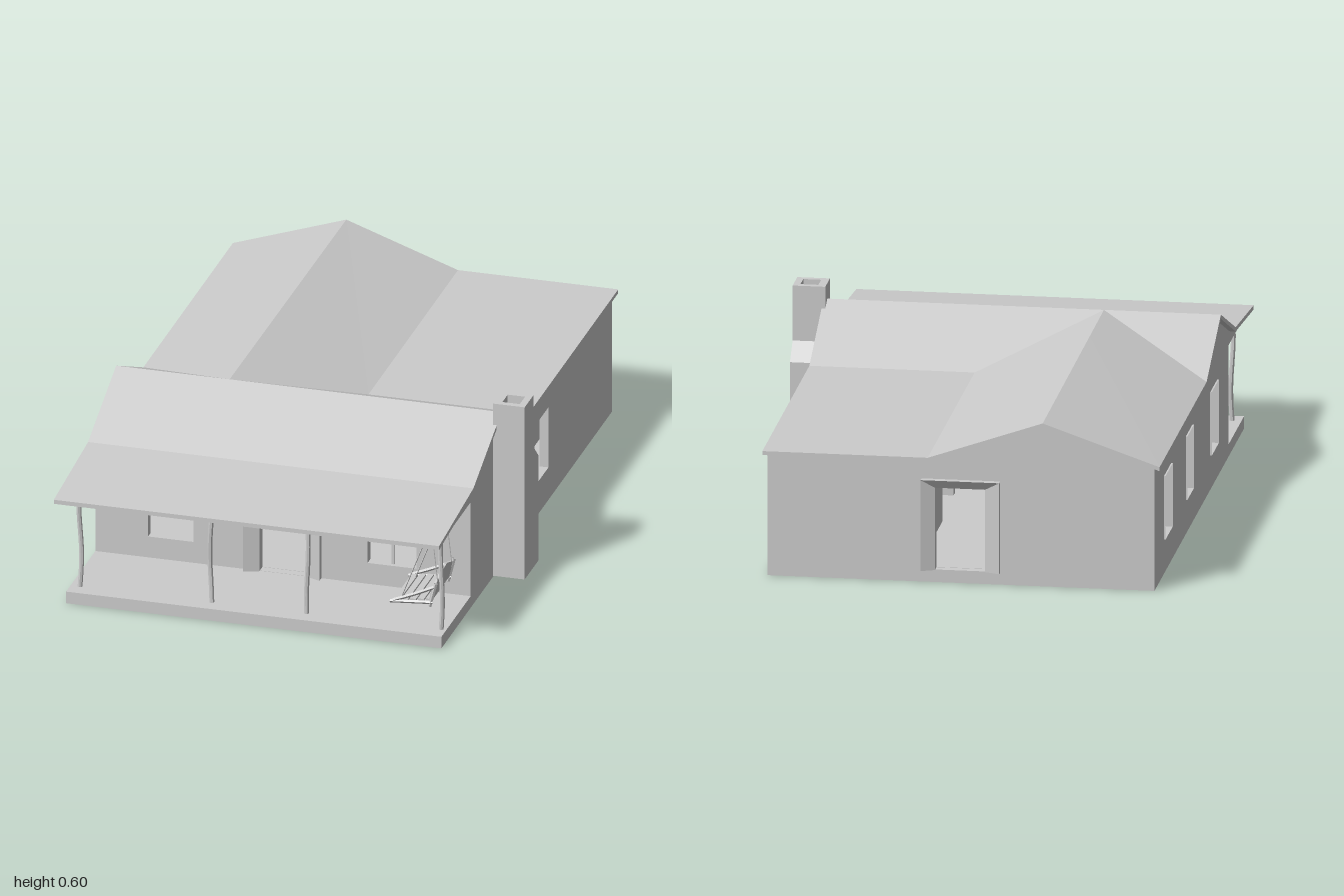
import * as THREE from 'three';

const material = new THREE.MeshStandardMaterial({ color: 0xcccccc, flatShading: true, side: THREE.DoubleSide });

export function createModel() {
  const house = new THREE.Group();

  const add = (name, geometry, parent = house) => {
    const mesh = new THREE.Mesh(geometry, material);
    mesh.name = name;
    parent.add(mesh);
    return mesh;
  };
  const box = (name, x0, x1, y0, y1, z0, z1, parent) =>
    add(name, new THREE.BoxGeometry(x1 - x0, y1 - y0, z1 - z0)
      .translate((x0 + x1) / 2, (y0 + y1) / 2, (z0 + z1) / 2), parent);
  // four-sided sleeve without ends, open along y, x or z
  const sleeve = (name, axis, x0, x1, y0, y1, z0, z1) => {
    const g = new THREE.CylinderGeometry(Math.SQRT1_2, Math.SQRT1_2, 1, 4, 1, true).rotateY(Math.PI / 4);
    if (axis === 'x') g.rotateZ(Math.PI / 2);
    if (axis === 'z') g.rotateX(Math.PI / 2);
    return add(name, g.scale(x1 - x0, y1 - y0, z1 - z0).translate((x0 + x1) / 2, (y0 + y1) / 2, (z0 + z1) / 2));
  };
  const outline = (points, holes = []) => {
    const shape = new THREE.Shape(points.map(p => new THREE.Vector2(...p)));
    for (const [a0, a1, b0, b1] of holes) {
      shape.holes.push(new THREE.Path([[a0, b0], [a0, b1], [a1, b1], [a1, b0]].map(p => new THREE.Vector2(...p))));
    }
    return shape;
  };
  const rect = (a0, a1, b0, b1) => [[a0, b0], [a1, b0], [a1, b1], [a0, b1]];
  // thin faces: (x, y) outline at z, (z, y) outline at x, (x, -z) outline at y
  const faceZ = (points, z, holes) => new THREE.ShapeGeometry(outline(points, holes)).translate(0, 0, z);
  const faceX = (points, x, holes) =>
    new THREE.ShapeGeometry(outline(points, holes)).rotateY(-Math.PI / 2).translate(x, 0, 0);
  const faceY = (points, y, holes) =>
    new THREE.ShapeGeometry(outline(points, holes)).rotateX(-Math.PI / 2).translate(0, y, 0);
  // solids swept along z or x
  const alongZ = (points, z0, z1) =>
    new THREE.ExtrudeGeometry(outline(points), { depth: z1 - z0, bevelEnabled: false }).translate(0, 0, z0);
  const alongX = (points, x0, x1) =>
    new THREE.ExtrudeGeometry(outline(points), { depth: x1 - x0, bevelEnabled: false })
      .rotateY(-Math.PI / 2).translate(x1, 0, 0);
  // line of roof points given thickness downwards
  const thick = (points, t) => [...points, ...points.map(([a, b]) => [a, b - t]).reverse()];
  const rod = (name, points, radius, parent, sides = 5) => {
    const curve = new THREE.CatmullRomCurve3(points.map(p => new THREE.Vector3(...p)));
    return add(name, new THREE.TubeGeometry(curve, points.length > 2 ? 14 : 1, radius, sides), parent);
  };

  const L = -0.66, R = 0.574, back = -0.975, front = 0.603, porch = 0.93;
  const t = 0.03, floorY = 0.04, ceilY = 0.365, sill = 0.112, head = 0.32;
  const door = [-0.12, 0.04, floorY + 0.001, 0.31];
  const windows = spans => spans.map(([a, b]) => [a, b, sill, head]);

  // Hollow partitions standing in floor slots: x0, x1, z0, z1
  const partitions = [
    [0.11, 0.54, -0.115, -0.085], [-0.628, -0.125, -0.115, -0.085],
    [-0.185, -0.155, -0.79, -0.245], [-0.628, -0.35, -0.465, -0.435],
    [0.412, 0.44, -0.86, -0.56], [0.12, 0.41, -0.86, -0.83],
    [0.12, 0.44, -0.415, -0.385], [0.1, 0.13, -0.6, -0.417],
  ];
  for (const [x0, x1, z0, z1] of partitions) sleeve('innerWall', 'y', x0, x1, floorY, ceilY, z0, z1);

  // Floor sheet with slots under the hollow walls, and the deck edge
  const slots = [...partitions, [L + t, -0.125, front - t, front], [0.085, R - t, front - t, front]];
  add('floor', faceY(rect(L, R, -porch, -back), floorY, slots.map(([a, b, c, d]) => [a, b, -d, -c])));
  add('deckEdge', faceZ(rect(L, R, 0, floorY), porch));
  add('ceiling', faceY(rect(L, R, -0.9, -back), ceilY));
  add('porchFascia', faceZ(rect(L, R, ceilY, 0.383), 0.9));

  // Side walls run on into the deck edge and the porch gable
  const side = [[back, 0], [porch, 0], [porch, floorY], [front, floorY], [front, ceilY], [0.9, ceilY], [0.9, 0.383],
    [0.615, 0.408], [0.303, 0.537], [0, 0.4], [back, 0.4]];
  for (const [name, x, inward, spans] of [
    ['rightWall', R, -t, [[0.01, 0.165], [-0.265, -0.11]]],
    ['leftWall', L, t, [[-0.77, -0.62], [-0.31, -0.17], [0.21, 0.36]]],
  ]) {
    add(name, faceX(side, x, windows(spans)));
    add(name + 'Lining', faceX(rect(back + t, front - t, floorY, ceilY), x + inward, windows(spans)));
    const outer = x === L ? x - 0.005 : x;
    for (const [a, b] of spans) {
      sleeve('windowReveal', 'x', Math.min(outer, x + inward), Math.max(outer, x + inward), sill, head, a, b);
    }
  }

  // Front and back walls
  const frontSpans = [[-0.487, -0.338], [0.235, 0.395]];
  const frontHoles = [door, ...windows(frontSpans)];
  add('frontWall', faceZ(rect(L, R, floorY, ceilY), front, frontHoles));
  add('frontWallLining', faceZ(rect(L + t, R - t, floorY, ceilY), front - t, frontHoles));
  for (const [a, b] of frontSpans) sleeve('windowReveal', 'z', a, b, sill, head, front - t, front);
  add('backWall', faceZ([[L, 0], [R, 0], [R, 0.4], [0.06, 0.4], [-0.31, 0.53], [L, 0.405]], back, [door]));
  add('backWallLining', faceZ(rect(L + t, R - t, floorY, ceilY), back + t, [door]));

  // Door surrounds with faces splayed in towards the opening
  const surround = [[-0.168, floorY], [-0.12, floorY], [-0.12, 0.31], [0.04, 0.31], [0.04, floorY],
    [0.083, floorY], [0.083, 0.338], [-0.168, 0.338]];
  for (const [name, z, dir] of [['frontDoorFrame', front, 1], ['backDoorFrame', back, -1]]) {
    const g = alongZ(surround, 0, 1);
    const p = g.attributes.position;
    for (let i = 0; i < p.count; i++) {
      const inner = p.getX(i) > -0.13 && p.getX(i) < 0.05;
      p.setZ(i, z + dir * (p.getZ(i) < 0.5 ? -t : inner ? 0.004 : 0.022));
    }
    add(name, g);
  }

  // Sash bars of the porch window
  box('sashUpright', 0.309, 0.319, sill, head, 0.58, 0.59);
  box('sashCrossbar', 0.235, 0.395, 0.217, 0.224, 0.58, 0.59);

  // Main roof over the front rooms and porch
  const left = -0.68, right = 0.587, ridgeX = -0.307, valleyX = 0.06;
  add('mainRoof', alongX(thick([[1, 0.385], [0.617, 0.42], [0.303, 0.549], [0, 0.413]], 0.014), left, right));

  // Rear gable roof with its flat side; the ridge dips slightly to the back
  const rear = alongZ(thick([[left, 0.413], [ridgeX, 0.547], [valleyX, 0.413], [right, 0.413]], 0.013), -1, 0);
  const rp = rear.attributes.position;
  for (let i = 0; i < rp.count; i++) if (rp.getZ(i) < -0.5 && rp.getY(i) > 0.5) rp.setY(i, rp.getY(i) - 0.006);
  add('rearRoof', rear);
  // Rear gable tapers into the main ridge
  const taper = alongZ([[left, 0.413], [ridgeX, 0.547], [valleyX, 0.413]], 0, 0.303);
  const tp = taper.attributes.position;
  for (let i = 0; i < tp.count; i++) if (tp.getZ(i) > 0.2) tp.setXYZ(i, ridgeX, 0.549, 0.303);
  add('rearRoofJunction', taper);

  // Chimney: wide hearth base, shoulder, hollow stack
  const chimney = new THREE.Group();
  chimney.name = 'chimney';
  house.add(chimney);
  add('chimneyBase', alongX([[0.2, 0.005], [0.357, 0.005], [0.357, 0.42], [0.258, 0.42], [0.2, 0.365]], 0.575, 0.679), chimney);
  const stack = outline(rect(0.575, 0.679, -0.357, -0.258), [[0.6, 0.657, -0.337, -0.278]]);
  add('chimneyStack', new THREE.ExtrudeGeometry(stack, { depth: 0.18, bevelEnabled: false })
    .rotateX(-Math.PI / 2).translate(0, 0.42, 0), chimney);

  // Slightly crooked log posts
  [-0.63, -0.2, 0.117, 0.557].forEach((x, i) => {
    const points = [];
    for (let k = 0; k <= 5; k++) {
      points.push([x + 0.004 * Math.sin(k * 1.1 + i * 2), floorY + k * 0.065, 0.875 + 0.003 * Math.cos(k * 1.3 + i)]);
    }
    rod('porchPost', points, 0.008, house, 7);
  });

  // Porch swing facing along the porch
  const swing = new THREE.Group();
  swing.name = 'porchSwing';
  house.add(swing);
  for (let i = 0; i < 5; i++) {
    const x = 0.392 + i * 0.026, y = 0.106 + i * 0.003;
    box('seatSlat', x, x + 0.02, y, y + 0.006, 0.64, 0.84, swing);
  }
  const backrest = alongX([[0.64, 0.118], [0.84, 0.118], [0.845, 0.17], [0.8, 0.185], [0.765, 0.2], [0.74, 0.205],
    [0.715, 0.2], [0.68, 0.185], [0.635, 0.17]], 0, 0.008);
  const bp = backrest.attributes.position;
  for (let i = 0; i < bp.count; i++) bp.setX(i, bp.getX(i) + 0.507 + (bp.getY(i) - 0.118) * 0.22);
  add('swingBack', backrest, swing);
  for (const z of [0.637, 0.843]) {
    rod('seatRail', [[0.38, 0.104, z], [0.52, 0.115, z]], 0.006, swing);
    rod('armRest', [[0.39, 0.108, z], [0.46, 0.137, z], [0.525, 0.168, z]], 0.006, swing);
    rod('backPost', [[0.51, 0.1, z], [0.53, 0.18, z]], 0.006, swing);
    const zr = z < 0.74 ? z + 0.025 : z - 0.025;
    rod('frontRope', [[0.507, ceilY, zr], [0.41, 0.11, zr]], 0.0018, swing, 4);
    rod('backRope', [[0.507, ceilY, zr], [0.528, 0.18, zr]], 0.0018, swing, 4);
  }

  return house;
}
